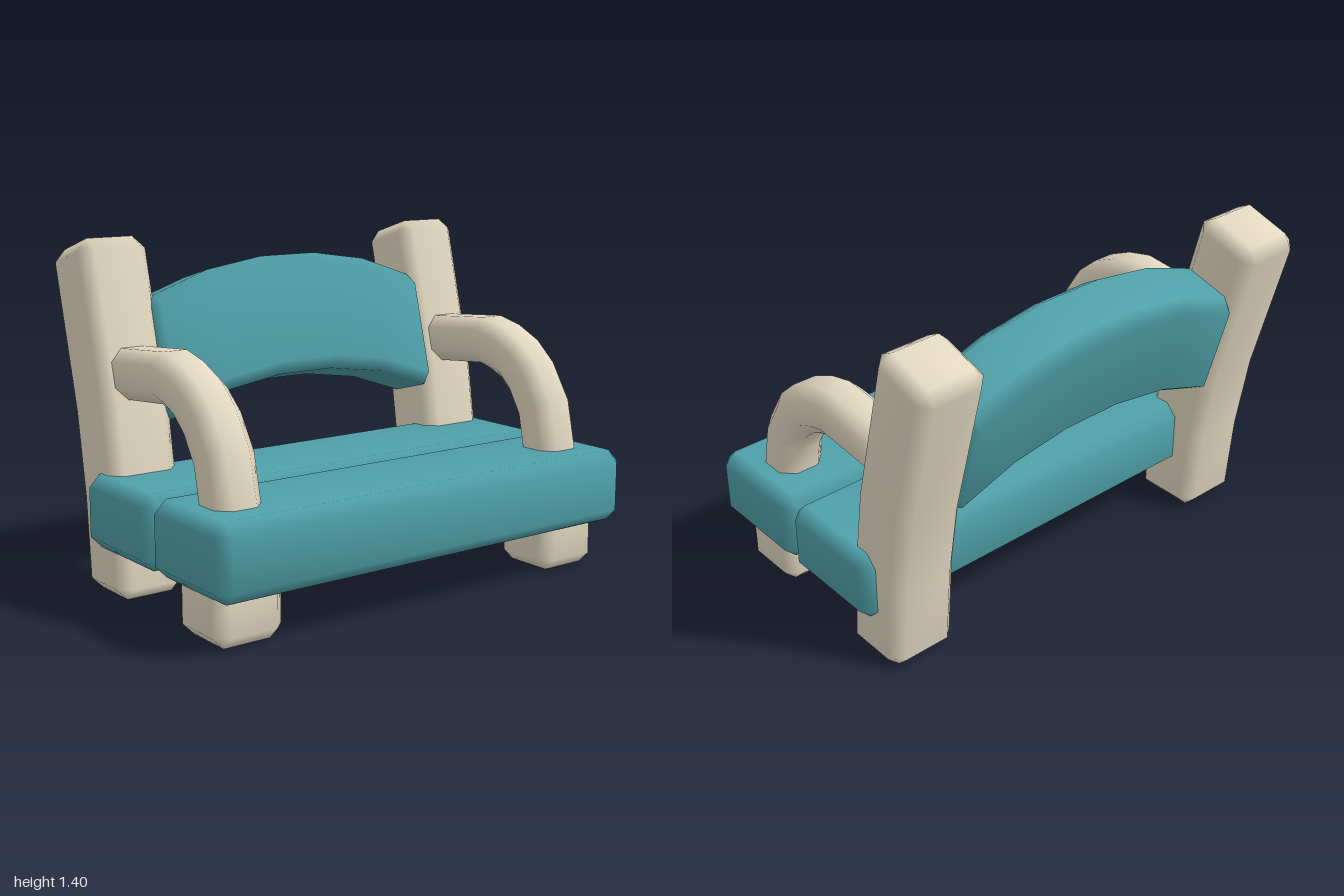
import * as THREE from 'three';
import { mergeVertices } from 'three/addons/utils/BufferGeometryUtils.js';

const teal = new THREE.MeshStandardMaterial({ color: 0x4fa0a9 });
const cream = new THREE.MeshStandardMaterial({ color: 0xe3d9c2 });
const BEVEL = 0.05;

// Bevelled beam lofted through stations { p: centre, u, v: section axes }, where u x v points along the path.
function beam(stations, hu, hv, endBevel = BEVEL) {
  const c = BEVEL;
  const ring = (s, inset, shift) => {
    const t = s.u.clone().cross(s.v);
    const a = hu - c, b = hv - c, A = inset ? a : hu, B = inset ? b : hv;
    return [[A, -b], [A, b], [a, B], [-a, B], [-A, b], [-A, -b], [-a, -B], [a, -B]].map(([x, y]) =>
      s.p.clone().addScaledVector(s.u, x).addScaledVector(s.v, y).addScaledVector(t, shift));
  };
  const last = stations[stations.length - 1];
  const rings = [ring(stations[0], true, -endBevel), ...stations.map(s => ring(s, false, 0)), ring(last, true, endBevel)];
  const points = rings.flat();
  const index = [];
  for (let r = 0; r < rings.length - 1; r++) {
    for (let i = 0; i < 8; i++) {
      const a = r * 8 + i, b = r * 8 + (i + 1) % 8;
      index.push(a, b, b + 8, a, b + 8, a + 8);
    }
  }
  const e = (rings.length - 1) * 8;
  for (let i = 1; i < 7; i++) index.push(0, i + 1, i, e, e + i, e + i + 1);
  const geometry = new THREE.BufferGeometry().setFromPoints(points);
  geometry.setIndex(index);
  const merged = mergeVertices(geometry, 1e-4);
  merged.computeVertexNormals();
  return merged;
}

// Stations rising in the yz plane: [z, y, backward tilt in degrees]
function rising(x, path) {
  return path.map(([z, y, tilt]) => {
    const a = THREE.MathUtils.degToRad(tilt);
    return {
      p: new THREE.Vector3(x, y, z),
      u: new THREE.Vector3(1, 0, 0),
      v: new THREE.Vector3(0, -Math.sin(a), -Math.cos(a)),
    };
  });
}

// Stations running across the bench: [x, y], with the section leaning back by a tilt
function across(z, tilt, path) {
  const a = THREE.MathUtils.degToRad(tilt);
  return path.map(([x, y]) => ({
    p: new THREE.Vector3(x, y, z),
    u: new THREE.Vector3(0, Math.cos(a), -Math.sin(a)),
    v: new THREE.Vector3(0, Math.sin(a), Math.cos(a)),
  }));
}

export function createModel() {
  const group = new THREE.Group();
  const add = (name, geometry, material) => {
    const mesh = new THREE.Mesh(geometry, material);
    mesh.name = name;
    group.add(mesh);
  };

  // Two seat planks
  for (const [name, z] of [['frontSeatPlank', 0.41], ['rearSeatPlank', -0.09]]) {
    add(name, beam(across(z, 0, [[-0.95, 0.35], [0.95, 0.35]]), 0.15, 0.25), teal);
  }

  // Arched, reclined backrest
  const arch = [[-0.65, 0.905], [-0.4, 0.99], [-0.135, 1.03], [0.135, 1.03], [0.4, 0.99], [0.65, 0.905]];
  add('backrest', beam(across(-0.395, 15, arch), 0.25, 0.15, 0.035), teal);

  // Posts, legs and armrests, mirrored
  const postPath = [[-0.29, 0.05, 0], [-0.315, 0.39, 5], [-0.37, 0.74, 11], [-0.52, 1.327, 17]];
  const legPath = [[0.41, 0.05, 0], [0.41, 0.25, 0]];
  const armPath = [[0.41, 0.4, 0], [0.41, 0.5, 4], [0.375, 0.66, 25], [0.3, 0.78, 43],
    [0.22, 0.85, 55], [0.13, 0.89, 70], [0.04, 0.913, 87], [-0.35, 0.88, 95]];
  for (const [side, s] of [['left', 1], ['right', -1]]) {
    add(side + 'RearPost', beam(rising(s * 0.8, postPath), 0.15, 0.15), cream);
    add(side + 'FrontLeg', beam(rising(s * 0.8, legPath), 0.15, 0.15), cream);
    add(side + 'Armrest', beam(rising(s * 0.8, armPath), 0.1, 0.1), cream);
  }
  return group;
}
